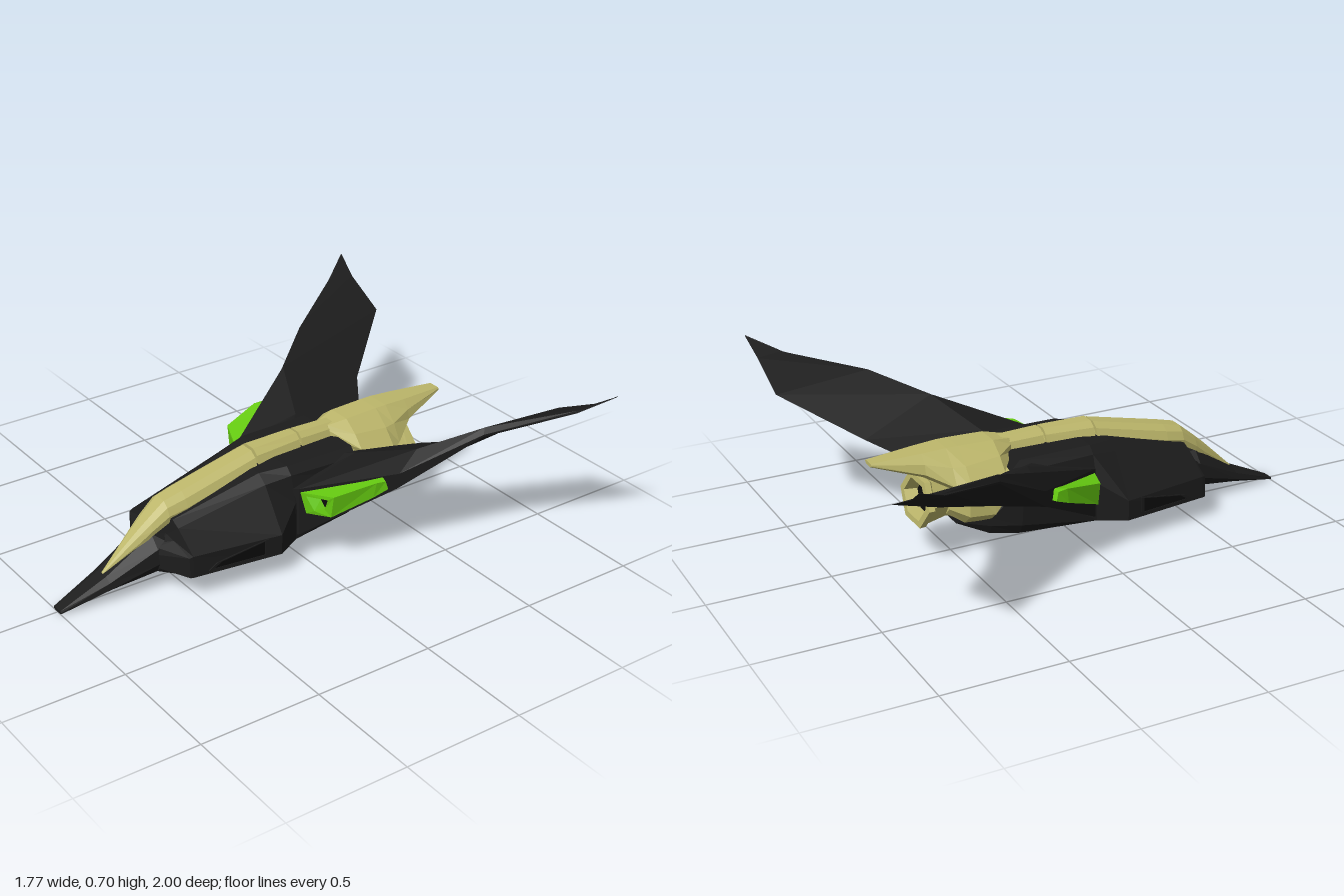
import * as THREE from 'three';

const mat = (color) => new THREE.MeshStandardMaterial({ color, flatShading: true });
const black = mat(0x1c1c1c), dark = mat(0x0c0c0c), khaki = mat(0xbdb76b), green = mat(0x66cc11);

// Closed solid lofted through loops of [x, y, z] points; winding is fixed from its volume
function loft(name, loops, material) {
  const tris = [];
  const n = loops[0].length;
  for (let s = 0; s < loops.length - 1; s++) {
    for (let i = 0; i < n; i++) {
      const j = (i + 1) % n, a = loops[s], b = loops[s + 1];
      tris.push([a[i], a[j], b[j]], [a[i], b[j], b[i]]);
    }
  }
  const cap = (loop, flip) => {
    const c = [0, 1, 2].map((k) => loop.reduce((t, p) => t + p[k], 0) / n);
    loop.forEach((p, i) => {
      const q = loop[(i + 1) % n];
      tris.push(flip ? [c, q, p] : [c, p, q]);
    });
  };
  cap(loops[0], true);
  cap(loops[loops.length - 1], false);
  const v = (p) => new THREE.Vector3(...p);
  const volume = tris.reduce((t, [a, b, c]) => t + v(a).dot(v(b).cross(v(c))), 0);
  if (volume < 0) tris.forEach((t) => t.reverse());
  const geo = new THREE.BufferGeometry();
  geo.setAttribute('position', new THREE.Float32BufferAttribute(tris.flat(2), 3));
  geo.computeVertexNormals();
  const mesh = new THREE.Mesh(geo, material);
  mesh.name = name;
  return mesh;
}

// Symmetric section at z from right-hand points ordered top to bottom
const section = (z, half) => [
  ...half.map(([x, y]) => [x, y, z]),
  ...half.slice().reverse().map(([x, y]) => [-x, y, z]),
];

// Faceted rounded section used along the spine
const arch = (z, w, top, base) => section(z, [
  [w * 0.4, top], [w * 0.8, top - (top - base) * 0.25], [w, top - (top - base) * 0.65], [w * 0.95, base],
]);

// Hexagonal ring for the exhaust, leaning slightly
const hex = (z, rx, ry) => Array.from({ length: 6 }, (_, k) => {
  const a = (k * Math.PI) / 3, dy = ry * Math.sin(a);
  return [rx * Math.cos(a), 0.25 + dy, z + dy * 0.13];
});

const mirrored = (loops, s) => loops.map((l) => l.map(([x, y, z]) => [x * s, y, z]));

export function createModel() {
  const model = new THREE.Group();

  // Body
  model.add(loft('nose', [
    section(1, [[0.02, 0.012], [0.03, 0.01], [0.03, 0.005], [0.02, 0]]),
    section(0.8, [[0.03, 0.1], [0.06, 0.085], [0.067, 0.06], [0.04, 0.04]]),
    section(0.6, [[0.045, 0.229], [0.09, 0.18], [0.1, 0.12], [0.08, 0.08]]),
    section(0.54, [[0.045, 0.215], [0.1, 0.19], [0.12, 0.12], [0.1, 0.08]]),
  ], black));
  model.add(loft('hull', [
    section(0.6, [[0.05, 0.19], [0.075, 0.185], [0.095, 0.16], [0.097, 0.1], [0.08, 0.08]]),
    section(0.54, [[0.06, 0.215], [0.11, 0.21], [0.22, 0.185], [0.225, 0.1], [0.15, 0.08]]),
    section(0.525, [[0.08, 0.285], [0.12, 0.265], [0.225, 0.19], [0.23, 0.1], [0.15, 0.08]]),
    section(0.15, [[0.12, 0.388], [0.165, 0.355], [0.28, 0.185], [0.28, 0.1], [0.2, 0.08]]),
    section(0.04, [[0.155, 0.4], [0.185, 0.37], [0.215, 0.26], [0.22, 0.1], [0.18, 0.08]]),
    section(-0.27, [[0.16, 0.4], [0.195, 0.365], [0.2, 0.3], [0.18, 0.13], [0.15, 0.085]]),
    section(-0.38, [[0.08, 0.2], [0.11, 0.19], [0.13, 0.165], [0.13, 0.13], [0.11, 0.092]]),
    section(-0.5, [[0.05, 0.19], [0.07, 0.185], [0.08, 0.175], [0.08, 0.15], [0.06, 0.14]]),
  ], black));

  // Canopy and spine plates, separated by shallow seams
  model.add(loft('canopy', [
    arch(0.8, 0.006, 0.105, 0.095), arch(0.65, 0.045, 0.245, 0.185),
    arch(0.6, 0.057, 0.288, 0.225), arch(0.53, 0.068, 0.345, 0.265),
    arch(0.45, 0.075, 0.365, 0.28), arch(0.123, 0.073, 0.44, 0.36),
  ], khaki));
  model.add(loft('spinePlate', [arch(0.113, 0.07, 0.445, 0.36), arch(-0.098, 0.058, 0.45, 0.37)], khaki));
  model.add(loft('rearSpinePlate', [arch(-0.108, 0.056, 0.45, 0.37), arch(-0.3, 0.05, 0.445, 0.37)], khaki));
  model.add(loft('spineCore', [arch(0.2, 0.065, 0.415, 0.34), arch(-0.2, 0.048, 0.438, 0.34)], khaki));

  // Engine cover with its tail spike
  model.add(loft('engineCover', [
    section(-0.25, [[0.03, 0.44], [0.045, 0.42], [0.05, 0.39], [0.04, 0.37]]),
    section(-0.33, [[0.05, 0.455], [0.11, 0.41], [0.155, 0.36], [0.12, 0.32]]),
    section(-0.48, [[0.05, 0.46], [0.12, 0.4], [0.18, 0.33], [0.14, 0.3]]),
    section(-0.53, [[0.05, 0.46], [0.11, 0.4], [0.15, 0.33], [0.11, 0.31]]),
    section(-0.63, [[0.045, 0.455], [0.075, 0.42], [0.085, 0.38], [0.05, 0.36]]),
    section(-0.83, [[0.025, 0.445], [0.029, 0.44], [0.029, 0.435], [0.02, 0.43]]),
  ], khaki));
  model.add(loft('engineHousing', [
    section(-0.3, [[0.1, 0.36], [0.17, 0.34], [0.175, 0.32], [0.12, 0.3]]),
    section(-0.34, [[0.1, 0.36], [0.17, 0.33], [0.175, 0.25], [0.12, 0.22]]),
    section(-0.38, [[0.1, 0.36], [0.17, 0.33], [0.175, 0.2], [0.12, 0.155]]),
    section(-0.48, [[0.09, 0.36], [0.16, 0.32], [0.155, 0.2], [0.1, 0.155]]),
    section(-0.54, [[0.06, 0.33], [0.09, 0.3], [0.09, 0.22], [0.06, 0.19]]),
  ], khaki));
  model.add(loft('exhaustNozzle', [
    hex(-0.48, 0.11, 0.09), hex(-0.53, 0.095, 0.085), hex(-0.61, 0.115, 0.1), hex(-0.62, 0.14, 0.106),
    hex(-0.645, 0.14, 0.108), hex(-0.645, 0.105, 0.082), hex(-0.56, 0.085, 0.07),
  ], khaki));
  model.add(loft('exhaustCore', [hex(-0.555, 0.08, 0.066), hex(-0.595, 0.088, 0.072)], dark));

  // Wing sections run lower lip, leading edge, ridge, trailing edge, underside
  const wing = [
    [[0.17, 0.1, 0.06], [0.17, 0.31, 0.06], [0.15, 0.38, -0.2], [0.15, 0.34, -0.42], [0.15, 0.28, -0.29]],
    [[0.225, 0.12, 0.03], [0.222, 0.325, 0.03], [0.205, 0.39, -0.26], [0.215, 0.335, -0.6], [0.21, 0.3, -0.3]],
    [[0.43, 0.318, -0.295], [0.435, 0.385, -0.3], [0.45, 0.48, -0.37], [0.36, 0.375, -0.7], [0.38, 0.345, -0.5]],
    [[0.607, 0.54, -0.57], [0.609, 0.55, -0.57], [0.6, 0.575, -0.58], [0.59, 0.54, -0.98], [0.6, 0.535, -0.75]],
    [[0.8, 0.635, -0.87], [0.8, 0.638, -0.87], [0.795, 0.642, -0.88], [0.78, 0.635, -0.985], [0.79, 0.63, -0.93]],
    [[0.883, 0.703, -0.999], [0.883, 0.704, -0.999], [0.88, 0.704, -0.999], [0.88, 0.703, -1], [0.881, 0.702, -1]],
  ];

  // Side intake below the leading edge: tail, shoulder, mouth, rim, dark floor
  const mix = (a, b, t) => a.map((p, i) => p.map((c, k) => c + (b[i][k] - c) * t));
  const tail = [[0.39, 0.37, -0.25], [0.425, 0.365, -0.24], [0.43, 0.33, -0.25], [0.39, 0.325, -0.26]];
  const shoulder = [[0.36, 0.355, -0.19], [0.42, 0.368, -0.2], [0.415, 0.305, -0.19], [0.34, 0.285, -0.16]];
  const mouth = [[0.225, 0.31, 0.025], [0.37, 0.335, -0.03], [0.355, 0.24, -0.03], [0.245, 0.22, 0.01]];
  const rim = [[0.25, 0.3, 0.015], [0.345, 0.315, -0.02], [0.325, 0.265, -0.02], [0.285, 0.245, 0]];
  const throat = mix(rim, tail, 0.25);

  // Flank vent: a raised frame around a dark panel
  const outline = [[0.465, 0.115], [0.43, 0.14], [0.21, 0.185], [0.21, 0.115]];
  const ventCentre = [0.31, 0.14];
  const ventLoop = (shrink, out) => outline.map(([z, y]) => {
    const zz = ventCentre[0] + (z - ventCentre[0]) * shrink;
    return [0.23 + (0.525 - zz) * 0.1333 + out, ventCentre[1] + (y - ventCentre[1]) * shrink, zz];
  });

  for (const [side, s] of [['left', 1], ['right', -1]]) {
    const add = (part, loops, m) => model.add(loft(side + part, mirrored(loops, s), m));
    add('Wing', wing, black);
    add('Intake', [tail, shoulder, mouth, rim, throat], green);
    add('IntakeFloor', [throat, mix(throat, rim, 0.4)], dark);
    add('VentFrame', [ventLoop(1, -0.02), ventLoop(1, 0.003), ventLoop(0.85, 0.003), ventLoop(0.85, -0.005)], black);
    add('VentPanel', [ventLoop(0.84, -0.02), ventLoop(0.84, 0.001)], dark);
  }
  return model;
}
